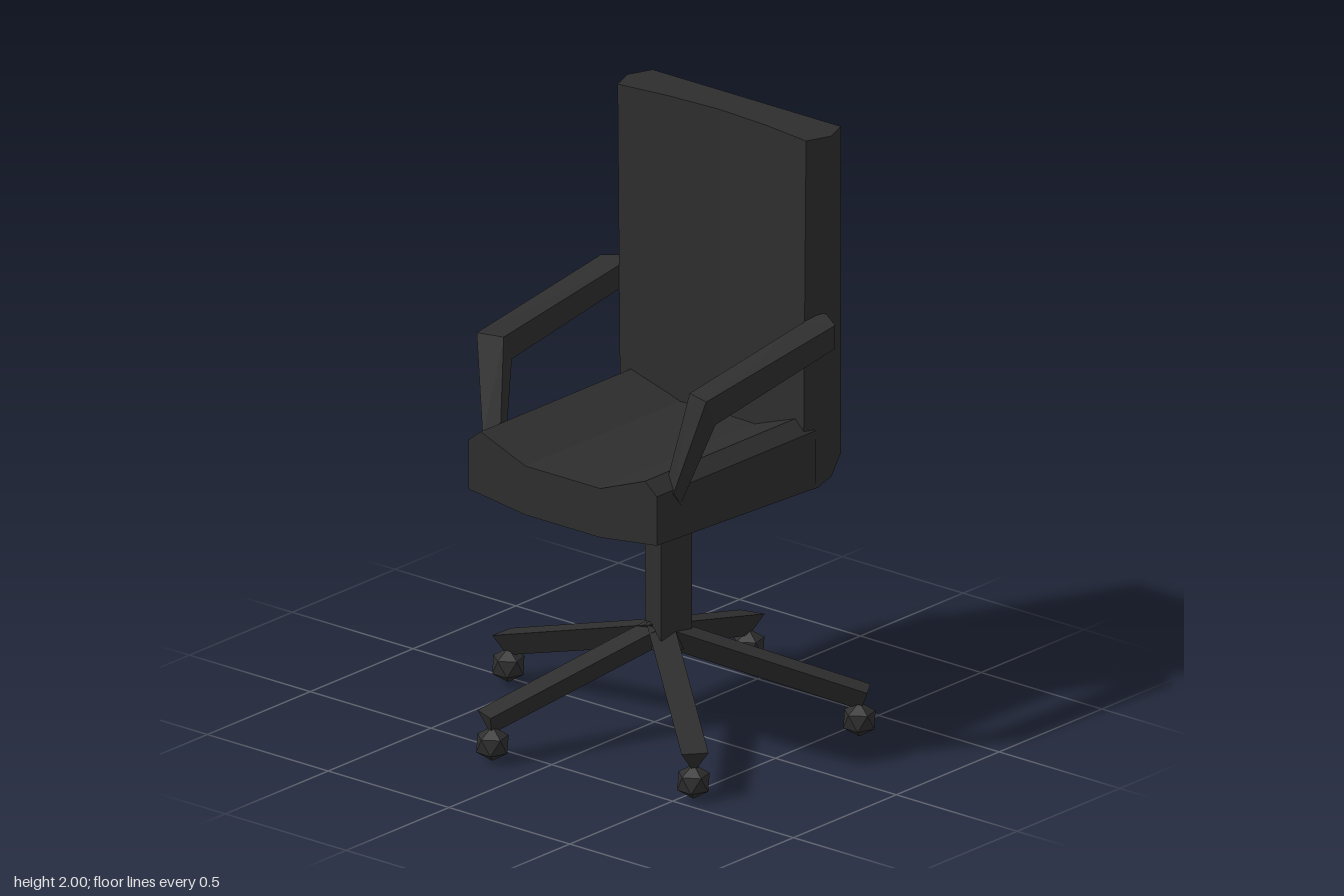
import * as THREE from 'three';

const CZ = 0.045; // z of the chair's plane of symmetry

// Closed solid through matching rings of points; ring[0] must see its whole ring
function loft(rings) {
  const tris = [];
  const n = rings[0].length;
  for (let i = 0; i < rings.length - 1; i++) {
    const a = rings[i], b = rings[i + 1];
    for (let j = 0; j < n; j++) {
      const k = (j + 1) % n;
      tris.push([a[j], a[k], b[k]], [a[j], b[k], b[j]]);
    }
  }
  const first = rings[0], last = rings[rings.length - 1];
  for (let j = 1; j < n - 1; j++) {
    tris.push([first[0], first[j + 1], first[j]], [last[0], last[j], last[j + 1]]);
  }
  // Turn the faces outward if the solid came out inverted
  let volume = 0;
  for (const [a, b, c] of tris) {
    volume += a[0] * (b[1] * c[2] - b[2] * c[1])
      + a[1] * (b[2] * c[0] - b[0] * c[2])
      + a[2] * (b[0] * c[1] - b[1] * c[0]);
  }
  const out = volume < 0 ? tris.map(([a, b, c]) => [a, c, b]) : tris;
  const geo = new THREE.BufferGeometry();
  geo.setAttribute('position', new THREE.Float32BufferAttribute(out.flat(2), 3));
  geo.computeVertexNormals();
  return geo;
}

// Ring from half a section: first and last points lie on the symmetry plane
function mirrorRing(half) {
  const other = half.slice(1, -1).reverse().map(([x, y, z]) => [x, y, -z]);
  return [...half, ...other].map(([x, y, z]) => [x, y, z + CZ]);
}

export function createModel() {
  const chair = new THREE.Group();
  chair.name = 'officeChair';
  const black = new THREE.MeshStandardMaterial({ color: 0x2e2e2e, flatShading: true });
  black.name = 'charcoal';

  function add(name, geo, parent = chair) {
    const mesh = new THREE.Mesh(geo, black);
    mesh.name = name;
    parent.add(mesh);
    return mesh;
  }

  // Scooped seat, open end towards -x
  const seatRing = (x, edgeY) => mirrorRing([
    [x, 0.815, 0], [x, 0.815, 0.155], [x, edgeY, 0.39], [x, 1.01, 0.39],
    [x, 1.05, 0.34], [x, 0.98, 0.155], [x, 0.98, 0],
  ]);
  add('seat', loft([seatRing(-0.5, 0.845), seatRing(0.27, 0.816)]));

  // Backrest with a hollowed front and a bevelled foot
  const backRing = (y, backX, ridge, frontZ) => mirrorRing([
    [backX, y, 0], [backX, y, 0.39], [Math.min(0.31, backX - 0.02), y, ridge],
    [0.225, y, frontZ], [0.25, y, 0.2], [0.262, y, 0],
  ]);
  add('backrest', loft([
    backRing(0.815, 0.285, 0.39, 0.38),
    backRing(0.835, 0.35, 0.39, 0.38),
    backRing(0.9, 0.395, 0.39, 0.38),
    backRing(0.98, 0.395, 0.392, 0.38),
    backRing(2, 0.395, 0.422, 0.39),
  ]));

  // Armrests: foot on the seat, elbow, bend, and end in the backrest
  const armRings = [
    [[-0.425, 1.0, 0.395], [-0.405, 0.99, 0.34], [-0.38, 0.95, 0.34], [-0.385, 0.95, 0.39]],
    [[-0.36, 1.31, 0.475], [-0.335, 1.31, 0.385], [-0.295, 1.225, 0.385], [-0.315, 1.22, 0.475]],
    [[0.255, 1.393, 0.485], [0.225, 1.39, 0.385], [0.225, 1.31, 0.385], [0.255, 1.315, 0.485]],
    [[0.3, 1.4, 0.41], [0.28, 1.4, 0.34], [0.28, 1.325, 0.34], [0.3, 1.325, 0.41]],
  ];
  for (const side of [1, -1]) {
    const rings = armRings.map(r => r.map(([x, y, z]) => [x, y, CZ + side * z]));
    add(side > 0 ? 'leftArmrest' : 'rightArmrest', loft(rings));
  }

  // Three-sided column, flat face towards +z
  function column(name, width, y0, y1, frontZ) {
    const r = width / Math.sqrt(3);
    const geo = new THREE.CylinderGeometry(r, r, y1 - y0, 3);
    geo.rotateY(Math.PI);
    geo.translate(-0.035, (y0 + y1) / 2, frontZ - r / 2);
    add(name, geo);
  }
  column('lowerColumn', 0.15, 0.275, 0.665, 0.12);
  column('upperColumn', 0.095, 0.6, 0.85, 0.105);

  // Five sloping legs of triangular section, each on a faceted caster
  const base = new THREE.Group();
  base.name = 'base';
  chair.add(base);
  const hub = [-0.035, 0.05];
  const casters = [[-0.03, -0.58], [-0.595, -0.165], [0.59, -0.115], [-0.44, 0.535], [0.32, 0.575]];
  for (const [cx, cz] of casters) {
    const dx = cx - hub[0], dz = cz - hub[1];
    const len = Math.hypot(dx, dz);
    const ux = dx / len, uz = dz / len;
    // Section at a distance from the hub: flat top, keel below
    const section = (d, dKeel, top, keel) => {
      const at = (dist, y, s) => [hub[0] + ux * dist - uz * s, y, hub[1] + uz * dist + ux * s];
      return [at(d, top, 0.043), at(d, top, -0.043), at(dKeel, keel, 0)];
    };
    add('leg', loft([section(0, -0.02, 0.362, 0.285), section(len + 0.03, len + 0.005, 0.162, 0.09)]), base);

    const ball = new THREE.IcosahedronGeometry(0.058, 0);
    ball.rotateZ(-Math.atan(2 / (1 + Math.sqrt(5))));
    ball.rotateY(Math.atan2(ux, uz));
    ball.translate(cx, 0.058, cz);
    add('caster', ball, base);
  }
  return chair;
}
